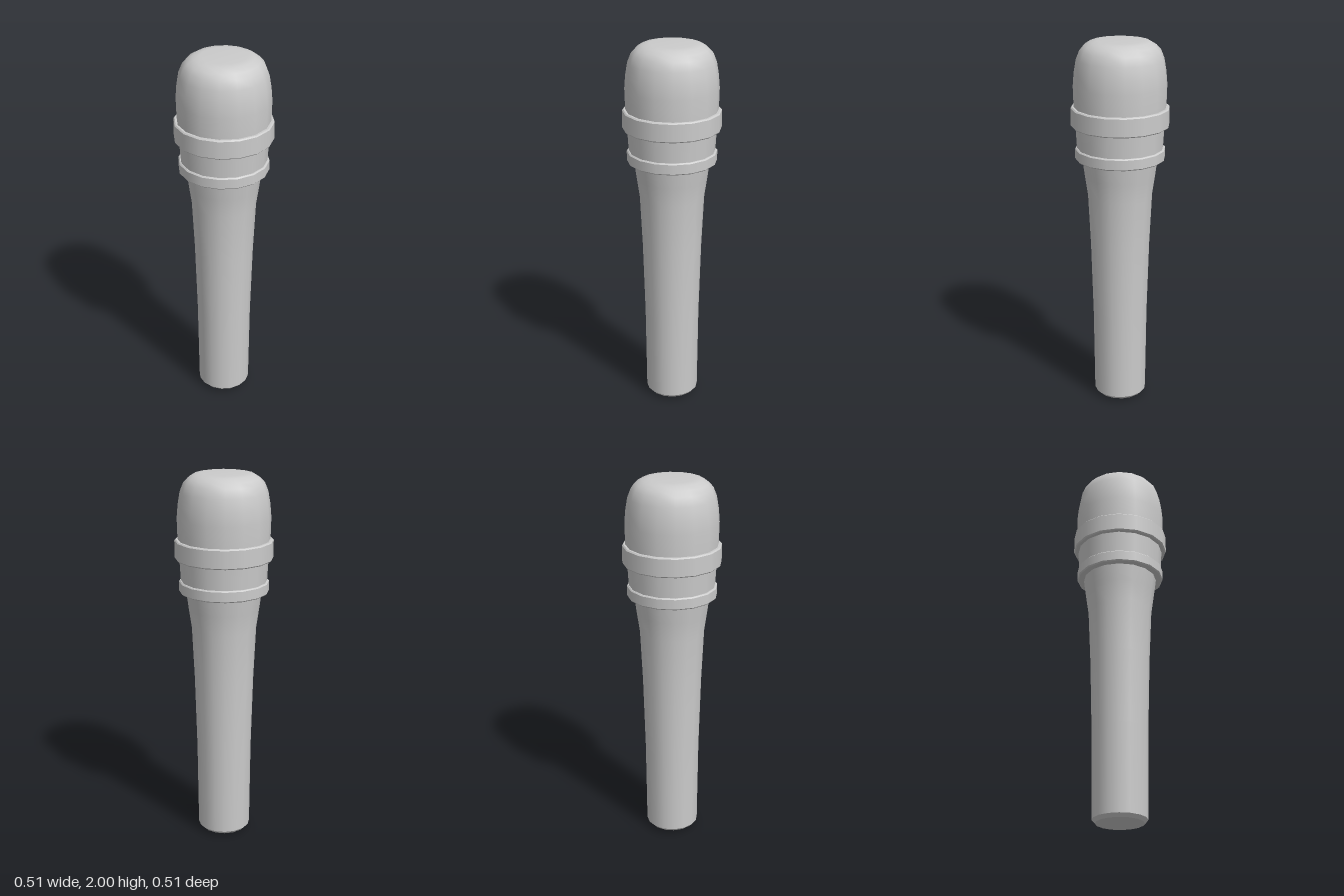
import * as THREE from 'three';

const SIDES = 16;
const material = new THREE.MeshStandardMaterial({ color: 0xcccccc });

// Each strip of [radius, height] points, listed bottom to top, is smooth;
// the joints between strips stay sharp.
function turned(name, ...strips) {
  const part = new THREE.Group();
  part.name = name;
  strips.forEach((strip, i) => {
    const points = strip.map(([r, y]) => new THREE.Vector2(r, y));
    const mesh = new THREE.Mesh(new THREE.LatheGeometry(points, SIDES), material);
    mesh.name = `${name}Surface${i + 1}`;
    part.add(mesh);
  });
  return part;
}

// Flat-sided band with sharp edges that closes onto the inner radius
function band(name, inner, outer, y0, y1) {
  const b = 0.006;
  return turned(name,
    [[inner, y0], [outer - b, y0]],
    [[outer - b, y0], [outer, y0 + b]],
    [[outer, y0 + b], [outer, y1 - b]],
    [[outer, y1 - b], [outer - b, y1]],
    [[outer - b, y1], [inner, y1]]);
}

export function createModel() {
  const model = new THREE.Group();
  model.name = 'microphone';

  // Tapered grip with a chamfered, slightly domed end
  model.add(turned('handle',
    [[0, 0], [0.125, 0.012]],
    [[0.125, 0.012], [0.142, 0.03]],
    [[0.142, 0.03], [0.147, 0.5], [0.158, 0.9], [0.171, 1.18], [0.187, 1.29], [0.2, 1.39]]));

  // Collar between grip and head
  model.add(band('lowerRing', 0.18, 0.236, 1.38, 1.442));
  model.add(turned('collar', [[0.225, 1.43], [0.233, 1.57]]));
  model.add(band('upperRing', 0.2, 0.257, 1.557, 1.66));

  // Rounded grille head with a flat crown
  model.add(turned('head', [
    [0.24, 1.65], [0.243, 1.77], [0.237, 1.84], [0.226, 1.905],
    [0.208, 1.95], [0.185, 1.975], [0.155, 1.993], [0.115, 2], [0, 2],
  ]));

  return model;
}
